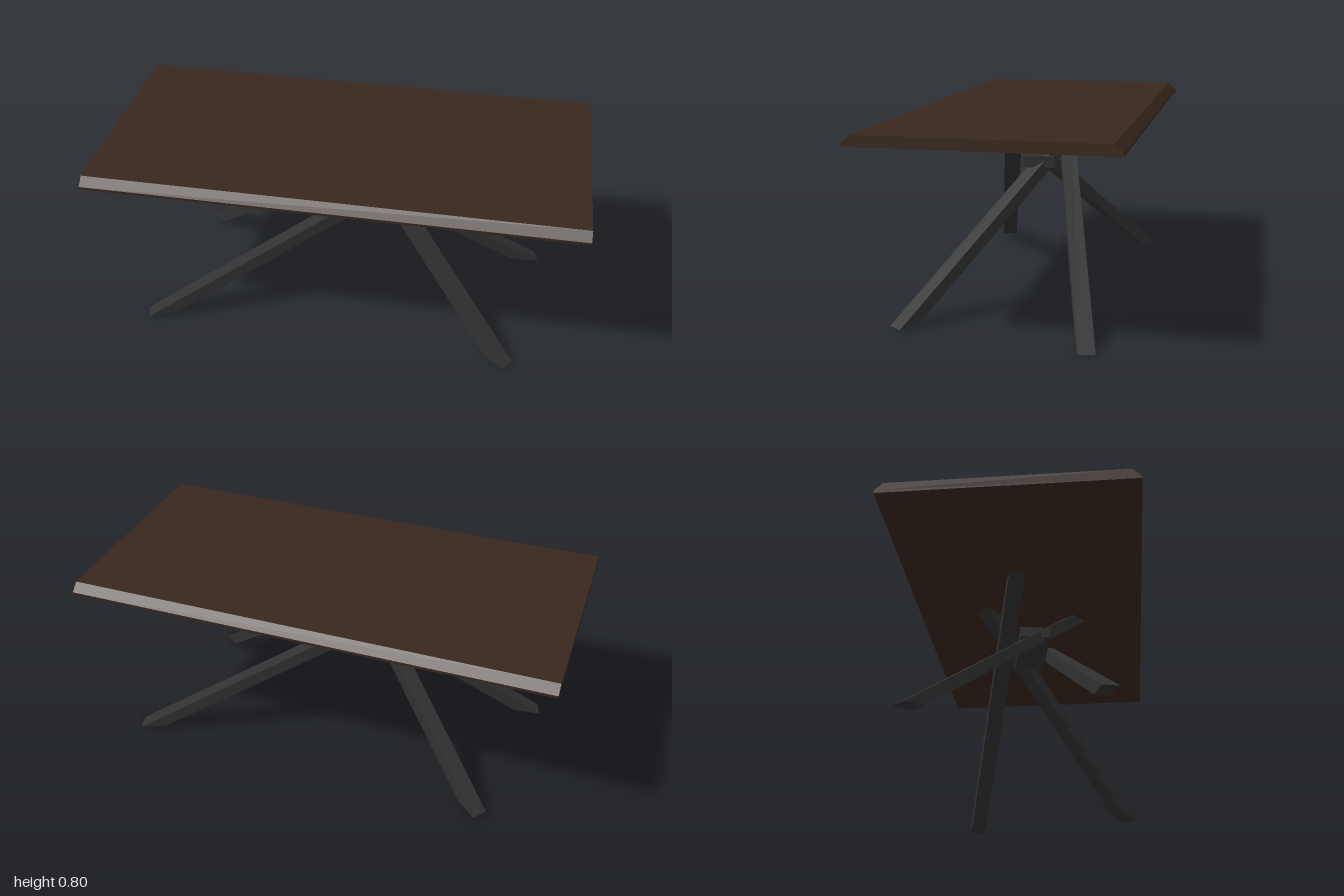
import * as THREE from 'three';

const TOP_Y = 0.76;      // underside of the tabletop
const LEG_W = 0.068;     // leg width across
const LEG_H = 0.05;      // leg thickness in its leaning plane

const wood = new THREE.MeshStandardMaterial({ color: 0x38271e });
const metal = new THREE.MeshStandardMaterial({ color: 0x313131 });

// Leaning bar from foot [x, z] to head [x, z], both ends cut about level.
// t0..t1 is the stretch along the leg, d0..d1 the depth from underside (-0.5) to upper side (0.5).
function leaningBar(foot, head, { t0 = 0, t1 = 1, d0 = -0.5, d1 = 0.5, lift = 0, width = LEG_W } = {}) {
  const axis = new THREE.Vector3(head[0] - foot[0], TOP_Y, head[1] - foot[1]);
  const out = new THREE.Vector3(-axis.x, 0, -axis.z).normalize();
  const side = new THREE.Vector3(out.z, 0, -out.x);
  const depth = LEG_H * axis.length() / TOP_Y;
  const geo = new THREE.BoxGeometry(1, 1, 1);
  const pos = geo.attributes.position;
  const v = new THREE.Vector3();
  for (let i = 0; i < pos.count; i++) {
    const px = pos.getX(i), upper = pos.getY(i) > 0, pz = pos.getZ(i);
    // the foot is cut at a slight slant, higher on its inner edge
    const t = upper ? t1 : t0 + (pz < 0 ? lift : 0);
    v.set(foot[0], 0, foot[1])
      .addScaledVector(axis, t)
      .addScaledVector(side, px * width)
      .addScaledVector(out, (pz < 0 ? d0 : d1) * depth);
    pos.setXYZ(i, v.x, v.y, v.z);
  }
  geo.computeVertexNormals();
  return geo;
}

export function createModel() {
  const model = new THREE.Group();
  model.name = 'diningTable';
  const add = (name, geo, mat, parent = model) => {
    const mesh = new THREE.Mesh(geo, mat);
    mesh.name = name;
    parent.add(mesh);
    return mesh;
  };

  // Tabletop: bevelled long edges, straight ends
  const profile = new THREE.Shape([
    [-0.5, 0.76], [0.5, 0.76], [0.5, 0.771], [0.466, 0.803], [-0.466, 0.803], [-0.5, 0.771],
  ].map(([z, y]) => new THREE.Vector2(z, y)));
  const top = new THREE.ExtrudeGeometry(profile, { depth: 2, bevelEnabled: false });
  top.translate(0, 0, -1).rotateY(Math.PI / 2);
  add('tabletop', top, wood);

  // Two crossing legs, repeated by a half turn
  const steep = { foot: [0.73, 0.397], head: [-0.05, -0.19] };
  const shallow = { foot: [0.808, -0.345], head: [-0.36, -0.033] };
  ['left', 'right'].forEach((label, i) => {
    const pair = new THREE.Group();
    pair.name = label + 'Legs';
    pair.rotation.y = i * Math.PI;
    add('steepLeg', leaningBar(steep.foot, steep.head, { t0: 0.01, lift: 0.015 }), metal, pair);
    add('shallowLeg', leaningBar(shallow.foot, shallow.head, { lift: 0.02 }), metal, pair);
    model.add(pair);
    // Wooden pad under the head of one shallow leg
    if (i === 1) {
      add('woodPad', leaningBar(shallow.foot, shallow.head,
        { t0: 0.945, d0: -0.52, d1: -0.49, width: LEG_W * 0.98 }), wood, pair);
    }
  });

  // Short brace joining the legs where they cross
  const brace = add('brace', new THREE.BoxGeometry(0.38, 0.047, 0.13), metal);
  brace.position.y = 0.579;
  brace.rotation.y = THREE.MathUtils.degToRad(10);

  return model;
}
